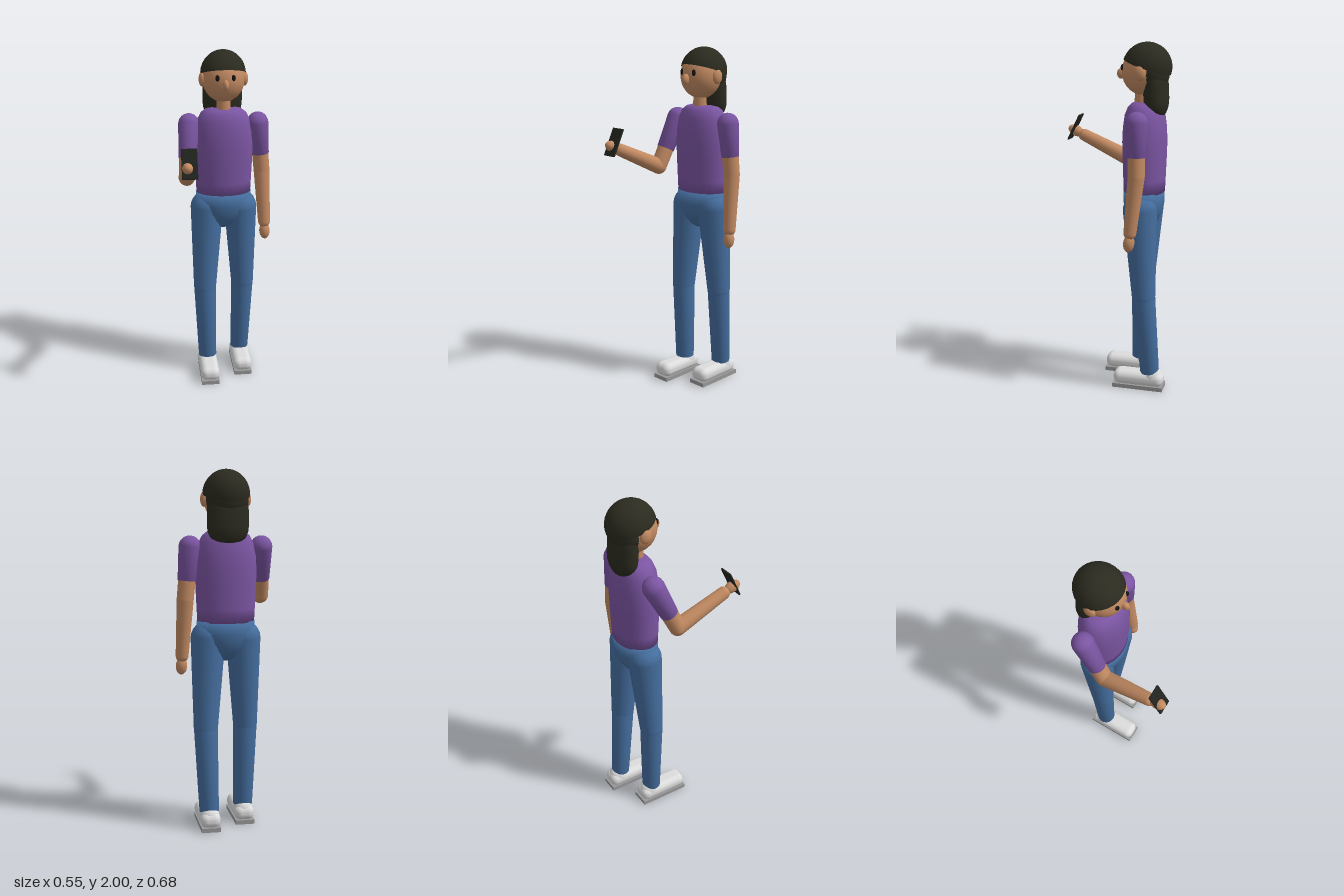
import * as THREE from 'three';
import { RoundedBoxGeometry } from 'three/addons/geometries/RoundedBoxGeometry.js';

const V = (x, y, z) => new THREE.Vector3(x, y, z);

function material(name, color, side = THREE.FrontSide) {
  const m = new THREE.MeshStandardMaterial({ color, side });
  m.name = name;
  return m;
}

export function createModel() {
  const group = new THREE.Group();
  const skin = material('skin', 0xc28a62);
  const hair = material('hair', 0x2b2b20, THREE.DoubleSide);
  const shirt = material('purple shirt', 0x7b55a2);
  const denim = material('blue denim', 0x456e9f);
  const shoe = material('white shoe', 0xdcdcdc);
  const sole = material('grey sole', 0x989898);
  const black = material('eye black', 0x141414);
  const device = material('phone dark', 0x22241e);

  function add(name, geometry, mat, pos = V(0, 0, 0)) {
    const mesh = new THREE.Mesh(geometry, mat);
    mesh.name = name;
    mesh.position.copy(pos);
    group.add(mesh);
    return mesh;
  }

  function ellipsoid(name, mat, pos, rx, ry, rz) {
    return add(name, new THREE.SphereGeometry(1, 20, 14).scale(rx, ry, rz), mat, pos);
  }

  // Tapered limb from a to b; each end is either domed or flat
  function limb(name, mat, a, b, ra, rb, domeA = true, domeB = true) {
    const length = a.distanceTo(b);
    const pts = [];
    const steps = 6;
    for (let i = 0; i <= steps; i++) {
      const t = (i / steps) * Math.PI / 2;
      if (domeA) pts.push(new THREE.Vector2(ra * Math.sin(t), -ra * Math.cos(t)));
    }
    if (!domeA) pts.push(new THREE.Vector2(0, 0), new THREE.Vector2(ra, 0));
    for (let i = 0; i <= steps; i++) {
      const t = (i / steps) * Math.PI / 2;
      if (domeB) pts.push(new THREE.Vector2(rb * Math.cos(t), length + rb * Math.sin(t)));
    }
    if (!domeB) pts.push(new THREE.Vector2(rb, length), new THREE.Vector2(0, length));
    const mesh = add(name, new THREE.LatheGeometry(pts, 18), mat, a);
    mesh.quaternion.setFromUnitVectors(V(0, 1, 0), b.clone().sub(a).normalize());
    return mesh;
  }

  // Elliptical body of revolution from [radius, y] pairs
  function turned(name, mat, profile, depth, pos) {
    const pts = profile.map(([r, y]) => new THREE.Vector2(r, y));
    return add(name, new THREE.LatheGeometry(pts, 24).scale(1, 1, depth), mat, pos);
  }

  // Torso and hips
  turned('torso', shirt, [
    [0, 1.165], [0.16, 1.165], [0.164, 1.24], [0.17, 1.36], [0.173, 1.45], [0.168, 1.53],
    [0.155, 1.6], [0.132, 1.643], [0.105, 1.664], [0.07, 1.672], [0, 1.672],
  ], 0.72, V(0, 0, -0.182));
  turned('hips', denim, [
    [0, 0.945], [0.05, 0.952], [0.09, 0.972], [0.125, 1.005], [0.152, 1.05],
    [0.163, 1.1], [0.164, 1.172], [0, 1.172],
  ], 0.7, V(0, 0, -0.181));

  // Head
  limb('neck', skin, V(0, 1.62, -0.16), V(0, 1.76, -0.165), 0.04, 0.04);
  ellipsoid('head', skin, V(0, 1.84, -0.172), 0.122, 0.132, 0.122);
  ellipsoid('nose', skin, V(0, 1.825, -0.045), 0.018, 0.03, 0.026);
  for (const s of [1, -1]) {
    ellipsoid(s > 0 ? 'leftEar' : 'rightEar', skin, V(s * 0.12, 1.838, -0.175), 0.021, 0.042, 0.034);
    ellipsoid(s > 0 ? 'leftEye' : 'rightEye', black, V(s * 0.045, 1.862, -0.062), 0.012, 0.018, 0.01);
  }

  // Hair cap, higher at the forehead, with a long fall behind
  const cap = add('hairCap',
    new THREE.SphereGeometry(1, 28, 12, 0, Math.PI * 2, 0, Math.PI / 2).rotateX(-0.32).scale(0.13, 0.136, 0.138),
    hair, V(0, 1.864, -0.192));
  const underside = new THREE.Mesh(
    new THREE.SphereGeometry(1, 20, 12).scale(0.118, 0.11, 0.09), hair);
  underside.name = 'hairBack';
  underside.position.set(0, -0.03, -0.035);
  cap.add(underside);
  const fall = limb('hairFall', hair, V(0, 1.69, -0.245), V(0, 1.78, -0.24), 0.115, 0.115);
  fall.scale.z = 0.6;

  // Legs: the right foot steps forward
  const stride = [
    { side: 'left', s: 1, kneeZ: -0.21, ankleZ: -0.248, footZ: -0.183 },
    { side: 'right', s: -1, kneeZ: -0.152, ankleZ: -0.15, footZ: -0.083 },
  ];
  for (const { side, s, kneeZ, ankleZ, footZ } of stride) {
    const hip = V(s * 0.1, 1.075, -0.18);
    const knee = V(s * 0.118, 0.57, kneeZ);
    limb(side + 'Thigh', denim, knee, hip, 0.068, 0.097);
    limb(side + 'Shin', denim, V(s * 0.106, 0.1, ankleZ), knee, 0.055, 0.067, false);
    ellipsoid(side + 'ShoeCollar', shoe, V(s * 0.106, 0.075, ankleZ - 0.015), 0.056, 0.056, 0.06);
    add(side + 'Shoe', new RoundedBoxGeometry(0.114, 0.084, 0.296, 5, 0.038), shoe, V(s * 0.106, 0.06, footZ));
    add(side + 'Sole', new THREE.BoxGeometry(0.108, 0.024, 0.298), sole, V(s * 0.106, 0.012, footZ));
  }

  // Arms: the left hangs, the right is bent to hold the phone
  const arms = [
    { side: 'left', s: 1, elbow: V(0.228, 1.29, -0.187), wrist: V(0.243, 0.975, -0.157) },
    { side: 'right', s: -1, elbow: V(-0.225, 1.3, -0.045), wrist: V(-0.24, 1.43, 0.245) },
  ];
  for (const { side, s, elbow, wrist } of arms) {
    const shoulder = V(s * 0.2, 1.58, -0.18);
    const cuff = shoulder.clone().lerp(elbow, 0.64);
    limb(side + 'Sleeve', shirt, cuff, shoulder, 0.051, 0.062, false);
    limb(side + 'UpperArm', skin, elbow, shoulder, 0.047, 0.05);
    limb(side + 'Forearm', skin, wrist, elbow, 0.036, 0.047);
    const along = wrist.clone().sub(elbow).normalize();
    const hand = ellipsoid(side + 'Hand', skin, wrist.clone().addScaledVector(along, 0.058), 0.031, 0.05, 0.032);
    hand.quaternion.setFromUnitVectors(V(0, 1, 0), along);
  }

  // Phone
  const phone = add('phone', new RoundedBoxGeometry(0.086, 0.166, 0.011, 2, 0.004), device, V(-0.231, 1.48, 0.297));
  phone.rotation.x = -0.45;

  return group;
}
